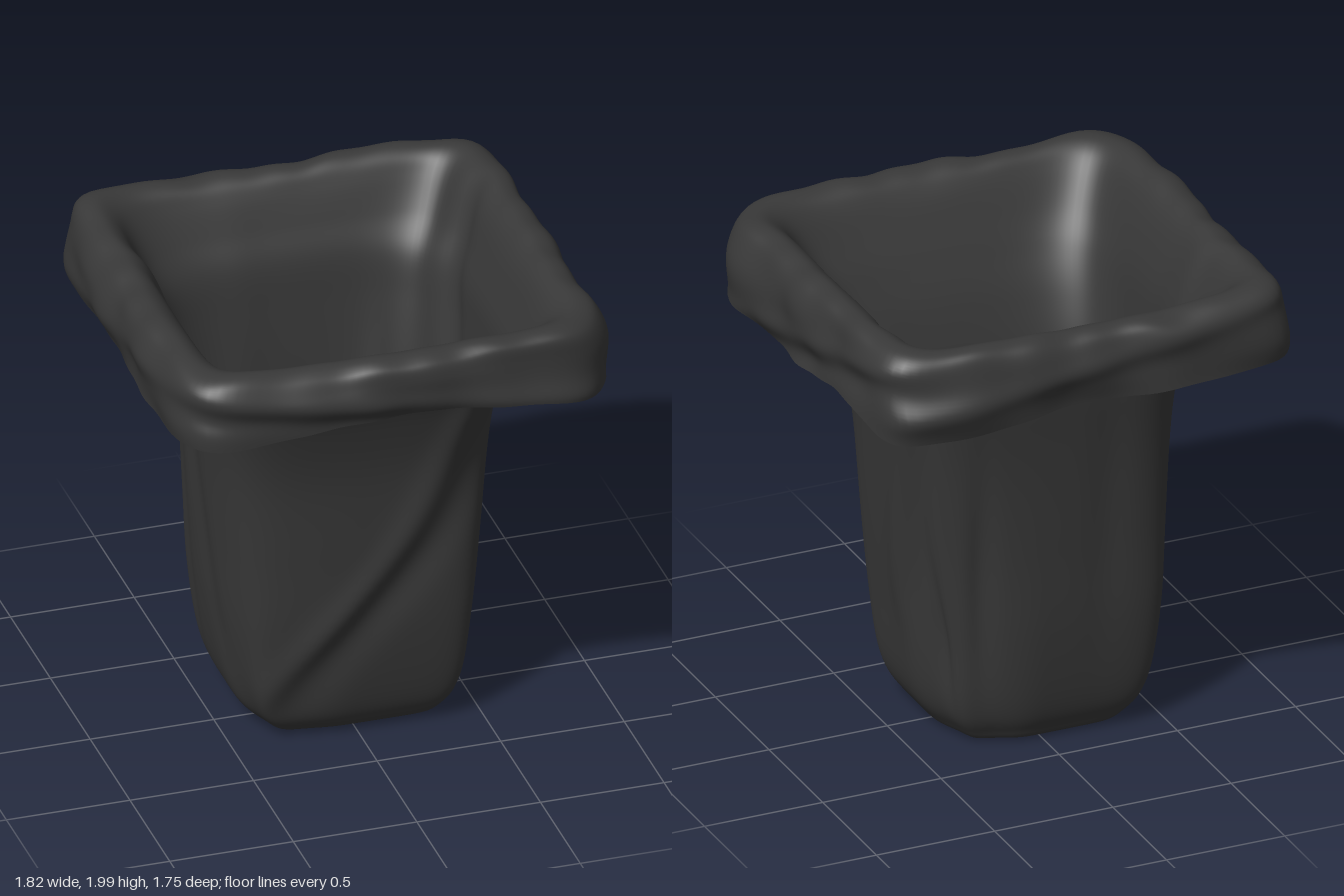
import * as THREE from 'three';

const V = (a, b, c) => new THREE.Vector3(a, b, c);
const bump = (d, w) => Math.exp(-(d * d) / (w * w));
const step = THREE.MathUtils.smoothstep;

// Section rows from floor centre, up the bag, over the rim and down the flap:
// [y, left reach (-x), right reach (+x), front reach (+z), back reach (-z), squareness]
const ROWS = [
  [0.005, 0.0, 0.0, 0.0, 0.0, 9],
  [0.0, 0.27, 0.27, 0.18, 0.29, 10],
  [0.06, 0.385, 0.36, 0.26, 0.36, 11],
  [0.2, 0.46, 0.425, 0.315, 0.41, 9.5],
  [0.5, 0.51, 0.465, 0.37, 0.455, 7],
  [0.85, 0.54, 0.505, 0.4, 0.48, 5.2],
  [1.2, 0.565, 0.54, 0.43, 0.505, 4.4],
  [1.45, 0.585, 0.565, 0.49, 0.53, 4.4],
  [1.63, 0.605, 0.58, 0.56, 0.555, 5],
  [1.76, 0.64, 0.62, 0.62, 0.61, 6.5],
  [1.88, 0.69, 0.665, 0.68, 0.665, 8],
  [1.94, 0.735, 0.71, 0.725, 0.705, 9],
  [1.96, 0.79, 0.765, 0.78, 0.76, 9],
  [1.93, 0.855, 0.83, 0.835, 0.815, 9],
  [1.85, 0.89, 0.865, 0.855, 0.84, 9],
  [1.75, 0.89, 0.87, 0.86, 0.845, 9],
  [1.66, 0.875, 0.865, 0.855, 0.835, 9],
];
const SEG = 200, STEPS = 8, RIM_ROW = 10;

// One continuous sheet, as a grid of rings
function sheet() {
  const curveA = new THREE.CatmullRomCurve3(ROWS.map(r => V(r[0], r[1], r[2])), false, 'catmullrom');
  const curveB = new THREE.CatmullRomCurve3(ROWS.map(r => V(r[3], r[4], r[5])), false, 'catmullrom');
  const rings = (ROWS.length - 1) * STEPS;
  const pos = [];
  for (let i = 0; i <= rings; i++) {
    const a = curveA.getPoint(i / rings), b = curveB.getPoint(i / rings);
    const rim = step(i / STEPS, 9, 13);
    const flap = step(i / STEPS, 12.5, 16);
    const wall = step(i / STEPS, 2, 4) * (1 - rim);
    for (let j = 0; j < SEG; j++) {
      const t = (j / SEG) * Math.PI * 2, c = Math.cos(t), s = Math.sin(t);
      let r = Math.pow(Math.abs(c) ** b.z + Math.abs(s) ** b.z, -1 / b.z);
      // Two opposite corners are drawn in, mostly towards the floor
      const sag = Math.max(0, -Math.sin(2 * t)) ** 3;
      r *= 1 - (c > 0 ? 0.17 : 0.12) * sag * (1 - step(a.x, 0.3, 1.75)) * (1 - rim);
      let x = r * c * (c > 0 ? a.z : a.y), z = r * s * (s > 0 ? b.x : b.y), y = Math.max(0, a.x);

      const front = step(s, 0.4, 0.75), back = step(-s, 0.4, 0.75);
      const right = step(c, 0.45, 0.75), left = step(-c, 0.45, 0.75);
      // Winding diagonal fold on the front
      const slant = x + 0.27 - (y - 0.3) * 0.6 - 0.05 * Math.sin((y - 0.3) * 4.8 - 1.5);
      z += wall * front * (0.022 * bump(slant, 0.08) - 0.02 * bump(slant - 0.15, 0.11));
      // Curved fold and upright crease on the right side
      const lean = z + 0.05 + 0.25 * Math.max(0, y - 0.6) ** 1.2;
      x += wall * right * (0.018 * bump(lean, 0.07) - 0.018 * bump(lean + 0.11, 0.07)) * step(y, 0.3, 0.8);
      x -= wall * right * 0.03 * bump(z + 0.26, 0.035) * bump(y - 0.45, 0.35);
      // Creases on the back and left
      z += wall * back * (0.025 * bump(x - 0.24 - 0.06 * y, 0.05) * bump(y - 0.75, 0.45)
        + 0.012 * bump(x + 0.22, 0.09) * bump(y - 1, 0.6));
      x += wall * left * 0.012 * (bump(z - 0.15 + 0.2 * y, 0.08) + bump(z + 0.28, 0.06));

      // Uneven rim height and sagging flap edge
      const wave = Math.sin(5 * t + 0.6) + 0.6 * Math.sin(11 * t + 2) + 0.5 * Math.sin(23 * t);
      const corner = Math.pow(Math.abs(Math.sin(2 * t)), 6);
      y += rim * (0.007 * wave + 0.008 * corner + 0.025 * right * bump(z + 0.35, 0.3)
        + 0.012 * left * bump(z + 0.5, 0.4) - 0.012 * front * bump(x, 0.5));
      y += flap * (front * (0.075 * bump(x - 0.05, 0.5) - 0.03 * bump(x - 0.85, 0.25))
        - 0.05 * right * bump(z - 0.1, 0.55) - 0.06 * sag * back - 0.01 * wave);

      // Slanted wrinkles running around the rim
      const w1 = y - 1.8 + 0.14 * (x + 0.2), w2 = y - 1.78 + 0.22 * (z + 0.15);
      const puff = rim * (0.01 * Math.sin(4 * t + 14 * y) + 0.006 * Math.sin(9 * t - 20 * y + 1)
        + 0.005 * wave) - flap * 0.015 * corner;
      x *= 1 + puff;
      z *= 1 + puff;
      const outer = step(i / STEPS, 12, 13.5);
      z += outer * front * (0.016 * bump(w1, 0.05) - 0.014 * bump(w1 + 0.08, 0.05));
      x += outer * right * (0.014 * bump(w2, 0.05) - 0.014 * bump(w2 + 0.08, 0.05));
      z -= outer * back * (0.015 * bump(w1 - 0.05, 0.05) + 0.02 * bump(x + 0.35, 0.12));
      z += outer * back * right * 0.035 * bump(y - 1.8, 0.07);
      x -= outer * left * 0.014 * bump(y - 1.79 - 0.15 * z, 0.06);
      // Bulge at the front right corner of the rim
      x += rim * 0.03 * bump(z - 0.58, 0.16) * right;
      pos.push(x, y, z);
    }
  }
  return { pos, rings };
}

// Triangles between two rings of the grid
function faces(from, to) {
  const idx = [];
  for (let i = from; i < to; i++) for (let j = 0; j < SEG; j++) {
    const a = i * SEG + j, b = i * SEG + (j + 1) % SEG, c = a + SEG, d = b + SEG;
    if (i > 0) idx.push(a, c, b);
    idx.push(b, c, d);
  }
  return idx;
}

export function createModel() {
  const group = new THREE.Group();
  group.name = 'binLiner';
  const { pos, rings } = sheet();
  const whole = new THREE.BufferGeometry();
  whole.setAttribute('position', new THREE.Float32BufferAttribute(pos, 3));
  whole.setIndex(faces(0, rings));
  whole.computeVertexNormals();
  // All floor-centre vertices share one downward normal
  for (let j = 0; j < SEG; j++) whole.attributes.normal.setXYZ(j, 0, -1, 0);

  const material = new THREE.MeshStandardMaterial({ color: 0x383838, side: THREE.DoubleSide });
  // The parts share vertices and normals, so the join stays smooth
  const addPart = (name, from, to) => {
    const geo = new THREE.BufferGeometry();
    geo.setAttribute('position', whole.attributes.position);
    geo.setAttribute('normal', whole.attributes.normal);
    geo.setIndex(faces(from, to));
    const mesh = new THREE.Mesh(geo, material);
    mesh.name = name;
    group.add(mesh);
  };
  addPart('bagBody', 0, RIM_ROW * STEPS);
  addPart('foldedRim', RIM_ROW * STEPS, rings);
  return group;
}
